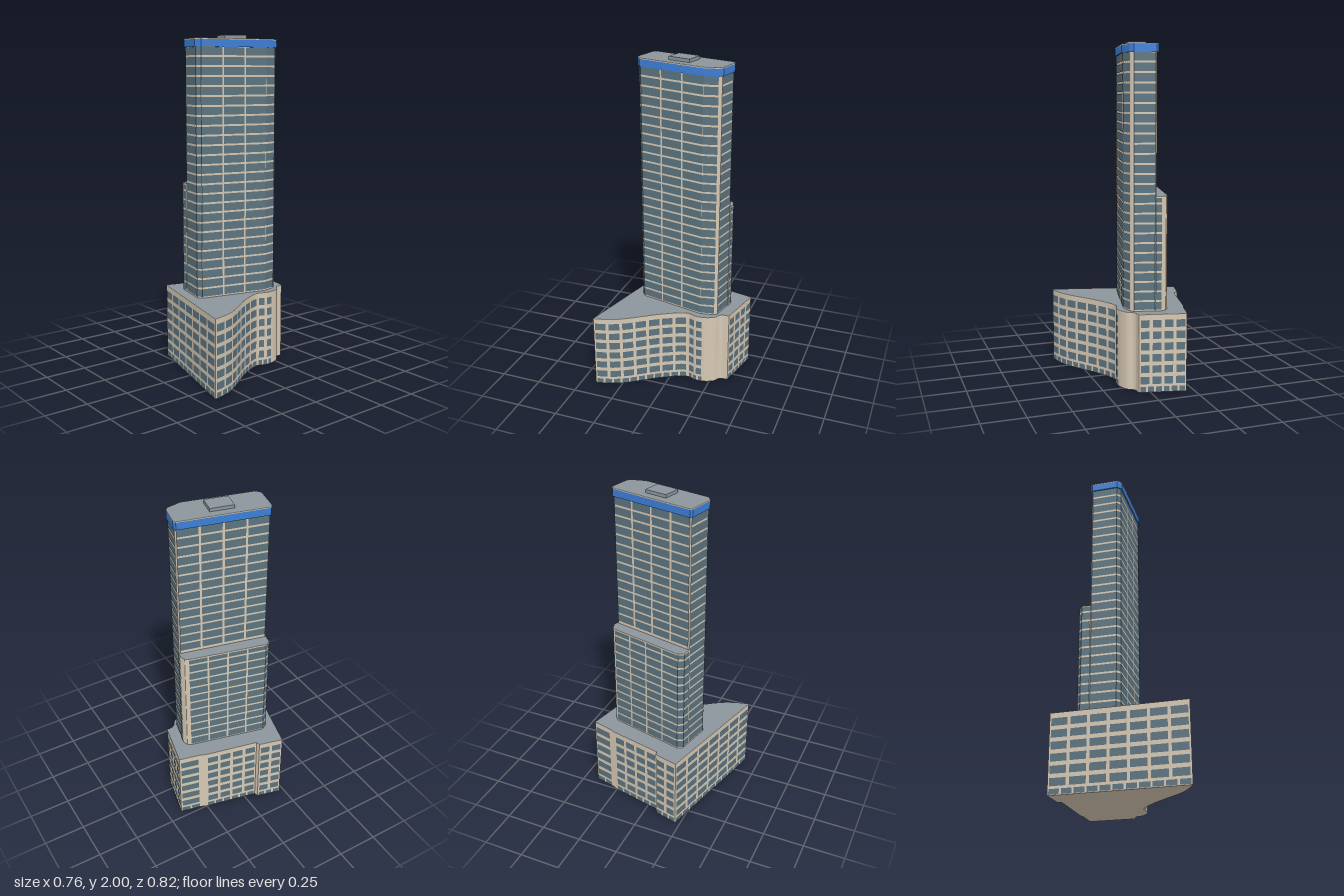
import * as THREE from 'three';
import { mergeGeometries, toCreasedNormals } from 'three/addons/utils/BufferGeometryUtils.js';

const mat = (name, color) => new THREE.MeshStandardMaterial({ name, color });
const V = (x, z) => new THREE.Vector2(x, z); // plan point: x, z
const plan = (pairs) => pairs.map(([x, z]) => V(x, z));

// Shift a plan path outwards by d (paths run back, +x side, front, -x side)
function offset(path, d, closed = false) {
  const n = path.length;
  const normal = (i) => {
    const e = path[(i + 1) % n].clone().sub(path[i]).normalize();
    return V(e.y, -e.x);
  };
  return path.map((p, i) => {
    const a = normal(closed || i > 0 ? (i + n - 1) % n : 0);
    const b = normal(closed || i < n - 1 ? i : n - 2);
    return a.clone().add(b).multiplyScalar(d / (1 + a.dot(b))).add(p);
  });
}

function pathLength(path) {
  let sum = 0;
  for (let i = 1; i < path.length; i++) sum += path[i].distanceTo(path[i - 1]);
  return sum;
}

// Part of a path between two distances along it
function slice(path, s0, s1) {
  const out = [];
  let s = 0;
  for (let i = 1; i < path.length; i++) {
    const a = path[i - 1], b = path[i], len = a.distanceTo(b);
    const lo = Math.max(s0, s), hi = Math.min(s1, s + len);
    if (hi - lo > 1e-6) {
      if (!out.length) out.push(a.clone().lerp(b, (lo - s) / len));
      out.push(a.clone().lerp(b, (hi - s) / len));
    }
    s += len;
  }
  return out;
}

// Upright strip following a path
function ribbon(path, y0, y1) {
  const pos = [];
  for (let i = 1; i < path.length; i++) {
    const a = path[i - 1], b = path[i];
    pos.push(b.x, y0, b.y, a.x, y0, a.y, a.x, y1, a.y);
    pos.push(b.x, y0, b.y, a.x, y1, a.y, b.x, y1, b.y);
  }
  const g = new THREE.BufferGeometry();
  g.setAttribute('position', new THREE.Float32BufferAttribute(pos, 3));
  g.computeVertexNormals();
  return toCreasedNormals(g, 0.4);
}

// Window strips: columns along a path, for every [y0, y1] row
function windows(path, cols, gap, margin, rows) {
  const skin = offset(path, 0.002);
  const pitch = (pathLength(skin) - 2 * margin + gap) / cols;
  const out = [];
  for (let c = 0; c < cols; c++) {
    const s = margin + c * pitch;
    const strip = slice(skin, s, s + pitch - gap);
    for (const [y0, y1] of rows) out.push(ribbon(strip, y0, y1));
  }
  return out;
}

const toShape = (path) => new THREE.Shape(path.map((p) => V(p.x, -p.y)));

function slab(path, y0, y1) {
  const g = new THREE.ExtrudeGeometry(toShape(path), { depth: y1 - y0, bevelEnabled: false });
  g.rotateX(-Math.PI / 2).translate(0, y0, 0);
  return toCreasedNormals(g, 0.5);
}

function cap(path, y) {
  return new THREE.ShapeGeometry(toShape(path)).rotateX(-Math.PI / 2).translate(0, y, 0);
}

export function createModel() {
  const stone = mat('stone', 0xd6c8b4);
  const glass = mat('glass', 0x5c7480);
  const blue = mat('blue', 0x3d7fd6);
  const roof = mat('roof grey', 0x8c959c);
  const model = new THREE.Group();
  model.name = 'towerBuilding';
  const add = (parent, name, geometry, material) => {
    const m = new THREE.Mesh(geometry, material);
    m.name = name;
    parent.add(m);
  };
  const group = (name) => {
    const g = new THREE.Group();
    g.name = name;
    model.add(g);
    return g;
  };

  // Podium with a wavy wall on the +x side
  const podium = group('podium');
  const H = 0.46;
  const wave = new THREE.CatmullRomCurve3(plan([
    [0.068, -0.345], [0.07, -0.31], [0.08, -0.295], [0.11, -0.275], [0.125, -0.25],
    [0.137, -0.215], [0.14, -0.165], [0.122, -0.105], [0.18, 0.03], [0.33, 0.255],
    [0.365, 0.345], [0.38, 0.41],
  ]).map((p) => new THREE.Vector3(p.x, 0, p.y))).getPoints(66).map((p) => V(p.x, p.z));
  const back = plan([[-0.205, -0.412], [0.065, -0.35]]);
  const west = plan([[-0.382, 0.22], [-0.345, 0.075], [-0.32, 0.07], [-0.25, -0.25], [-0.235, -0.285]]);
  const podiumPlan = [...back, ...wave, ...west];
  add(podium, 'podiumWalls', slab(podiumPlan, 0, H), stone);
  add(podium, 'podiumRoof', cap(podiumPlan, H + 0.002), roof);

  const podiumRows = [];
  for (let k = 0; k < 6; k++) podiumRows.push([0.384 - k * 0.067, 0.428 - k * 0.067]);
  const lobbyRow = [[0.004, 0.034]];
  const waveLength = pathLength(wave);
  const podiumPanes = [
    [back, 4],
    [slice(wave, 0.16, 0.268), 2],
    [slice(wave, 0.27, waveLength), 7],
    [[wave[wave.length - 1], west[0]], 7],
    [[west[0], west[1]], 2],
    [[west[2], west[3]], 4],
    [[west[4], back[0]], 1],
  ].flatMap(([path, cols]) => [
    ...windows(path, cols, 0.018, 0.01, podiumRows),
    ...windows(path, Math.round(cols * 1.6), 0.012, 0.008, lobbyRow),
  ]);
  add(podium, 'podiumWindows', mergeGeometries(podiumPanes), glass);

  // Floor bands of the towers
  const floors = (from, count, top) => {
    const rows = [];
    for (let k = from; k < count; k++) {
      const y = H + k * 0.0565;
      rows.push([y + 0.011, Math.min(y + 0.0565, top)]);
    }
    return rows;
  };

  // Tall tower
  const tall = group('tallTower');
  const crownPlan = plan([
    [-0.065, -0.303], [-0.05, -0.312], [0.075, -0.285], [0.093, -0.265], [0.11, -0.18],
    [0.015, 0.23], [-0.015, 0.252], [-0.17, 0.217], [-0.18, 0.205],
  ]);
  const t = offset(crownPlan, -0.008, true);
  add(tall, 'tallTowerWalls', slab(t, H, 1.93), stone);
  const all = floors(0, 26, 1.93);
  add(tall, 'tallTowerWindows', mergeGeometries([
    ...windows([t[1], t[2]], 1, 0, 0, all),
    ...windows([t[3], t[4]], 1, 0, 0, all),
    ...windows([t[4], t[5]], 3, 0.01, 0, all),
    ...windows([t[5], t[6], t[7]], 1, 0, 0, all),
    ...windows([t[8], t[0]], 4, 0.012, 0, floors(12, 26, 1.93)),
  ]), glass);
  add(tall, 'crownBand', slab(crownPlan, 1.93, 1.973), blue);
  add(tall, 'crownRim', slab(crownPlan, 1.973, 1.979), stone);
  add(tall, 'tallTowerRoof', cap(crownPlan, 1.981), roof);
  add(tall, 'roofPlantRoom', slab(plan([
    [-0.065, -0.103], [0.041, -0.079], [0.01, 0.056], [-0.095, 0.032],
  ]), 1.979, 2), roof);

  // Lower tower against the -x side
  const low = group('lowTower');
  const top = 1.13;
  const b = plan([
    [-0.17, 0.21], [-0.22, 0.2], [-0.238, 0.168], [-0.13, -0.285], [-0.115, -0.305],
    [-0.085, -0.315], [-0.052, -0.308], [-0.04, -0.2], [-0.14, 0.19],
  ]);
  add(low, 'lowTowerWalls', slab(b, H, top - 0.002), stone);
  add(low, 'lowTowerRoof', cap(b, top), roof);
  const lowRows = floors(0, 12, top - 0.01);
  add(low, 'lowTowerWindows', mergeGeometries([
    ...windows([b[0], b[1], b[2]], 1, 0, 0, lowRows),
    ...windows([b[2], b[3]], 4, 0.01, 0, lowRows),
    ...windows([b[5], b[6]], 1, 0, 0, lowRows),
  ]), glass);

  return model;
}
